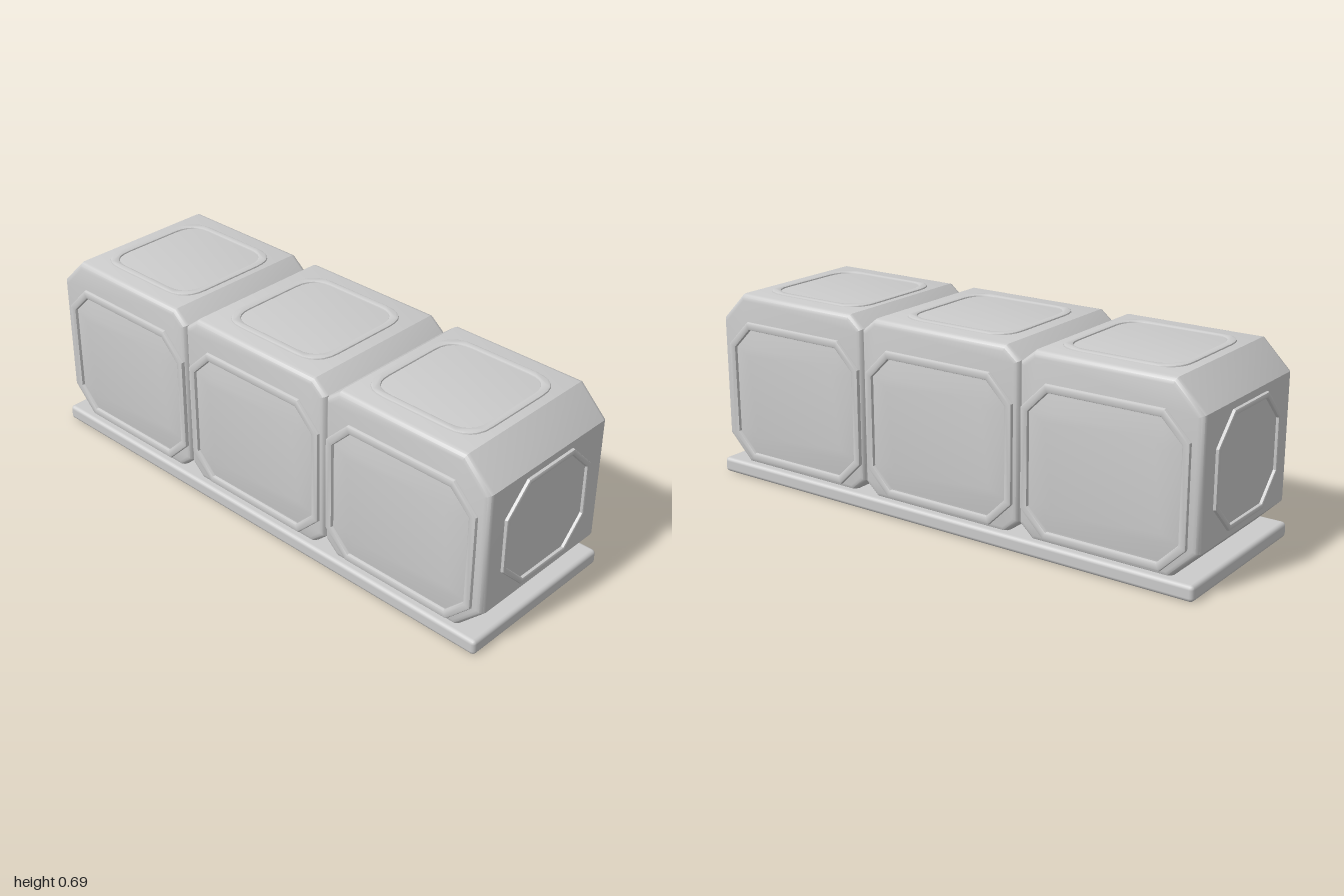
import * as THREE from 'three';
import { RoundedBoxGeometry } from 'three/addons/geometries/RoundedBoxGeometry.js';
import { toCreasedNormals } from 'three/addons/utils/BufferGeometryUtils.js';

const material = new THREE.MeshStandardMaterial({ color: 0xcccccc });

function mesh(name, geometry, parent) {
  const m = new THREE.Mesh(geometry, material);
  m.name = name;
  parent.add(m);
  return m;
}

// Rectangle with cut (or rounded) corners, centred on the origin
function cutRect(w, h, c, rounded, target = new THREE.Shape()) {
  const x = w / 2, y = h / 2;
  const corner = (cx, cy, ex, ey) =>
    rounded ? target.quadraticCurveTo(cx, cy, ex, ey) : target.lineTo(ex, ey);
  target.moveTo(-x + c, -y);
  target.lineTo(x - c, -y);
  corner(x, -y, x, -y + c);
  target.lineTo(x, y - c);
  corner(x, y, x - c, y);
  target.lineTo(-x + c, y);
  corner(-x, y, -x, y - c);
  target.lineTo(-x, -y + c);
  corner(-x, -y, -x + c, -y);
  return target;
}

// Extrusion whose bevels stay inside the given outline and depth
function bevelled(shape, depth, bevel, thickness, segments) {
  const g = new THREE.ExtrudeGeometry(shape, {
    depth: depth - 2 * thickness, bevelEnabled: true, bevelSize: bevel, bevelOffset: -bevel,
    bevelThickness: thickness, bevelSegments: segments, curveSegments: 6,
  });
  g.translate(0, 0, thickness);
  return toCreasedNormals(g, 0.6);
}

// Raised border around a panel, lying in the xy plane and rising towards +z
function rim(w, h, c, band, height, rounded) {
  const shape = cutRect(w, h, c, rounded);
  shape.holes.push(cutRect(w - 2 * band, h - 2 * band, c - 0.586 * band, rounded, new THREE.Path()));
  return bevelled(shape, height + 0.02, 0.007, 0.007, 2).translate(0, 0, -0.02);
}

// Side outline of one block: x range and the chamfer at each end
function blockShape(x0, x1, c0, c1) {
  const bottom = 0.045, top = 0.689;
  return new THREE.Shape([
    [x0 + c0.x, bottom], [x1 - c1.x, bottom], [x1, bottom + c1.low], [x1, top - c1.y],
    [x1 - c1.x, top], [x0 + c0.x, top], [x0, top - c0.y], [x0, bottom + c0.low],
  ].map(([x, y]) => new THREE.Vector2(x, y)));
}

export function createModel() {
  const model = new THREE.Group();
  model.name = 'tripleBlock';

  // Base slab
  mesh('baseSlab', new RoundedBoxGeometry(1.98, 0.055, 0.65, 2, 0.014), model).position.y = 0.0275;

  // Three blocks meeting in V grooves
  const seam = { x: 0.055, y: 0.045, low: 0.05 };
  const end = { x: 0.1, y: 0.1, low: 0.1 };
  const halfDepth = 0.297;
  const blocks = [
    { name: 'right', x0: -0.988, x1: -0.327, c0: end, c1: seam, panelX: -0.645, topX: -0.63 },
    { name: 'middle', x0: -0.327, x1: 0.327, c0: seam, c1: seam, panelX: 0, topX: 0 },
    { name: 'left', x0: 0.327, x1: 0.988, c0: seam, c1: end, panelX: 0.645, topX: 0.63 },
  ];
  for (const b of blocks) {
    const block = new THREE.Group();
    block.name = b.name + 'Block';
    model.add(block);
    const body = bevelled(blockShape(b.x0, b.x1, b.c0, b.c1), 2 * halfDepth, 0.022, 0.022, 3);
    mesh('body', body, block).position.z = -halfDepth;

    // Front and back panels with cut corners and a shallow raised field
    for (const [side, turn] of [['front', 0], ['back', Math.PI]]) {
      const face = new THREE.Group();
      face.name = side + 'Panel';
      face.position.set(b.panelX, 0.328, Math.cos(turn) * halfDepth);
      face.rotation.y = turn;
      block.add(face);
      mesh('rim', rim(0.61, 0.525, 0.09, 0.028, 0.012, false), face);
      const field = bevelled(cutRect(0.55, 0.46, 0.07, false), 0.024, 0.06, 0.009, 1);
      mesh('field', field, face).position.z = -0.015;
    }

    // Rounded top panel border
    const lid = mesh('topRim', rim(0.45, 0.45, 0.1, 0.028, 0.006, true), block);
    lid.rotation.x = -Math.PI / 2;
    lid.position.set(b.topX, 0.689, 0);
  }

  // Octagonal panel border on each end
  for (const s of [1, -1]) {
    const endPanel = mesh(s > 0 ? 'leftEndRim' : 'rightEndRim', rim(0.43, 0.395, 0.1, 0.02, 0.011, false), model);
    endPanel.rotation.y = s * Math.PI / 2;
    endPanel.position.set(s * 0.988, 0.367, 0);
  }
  return model;
}
